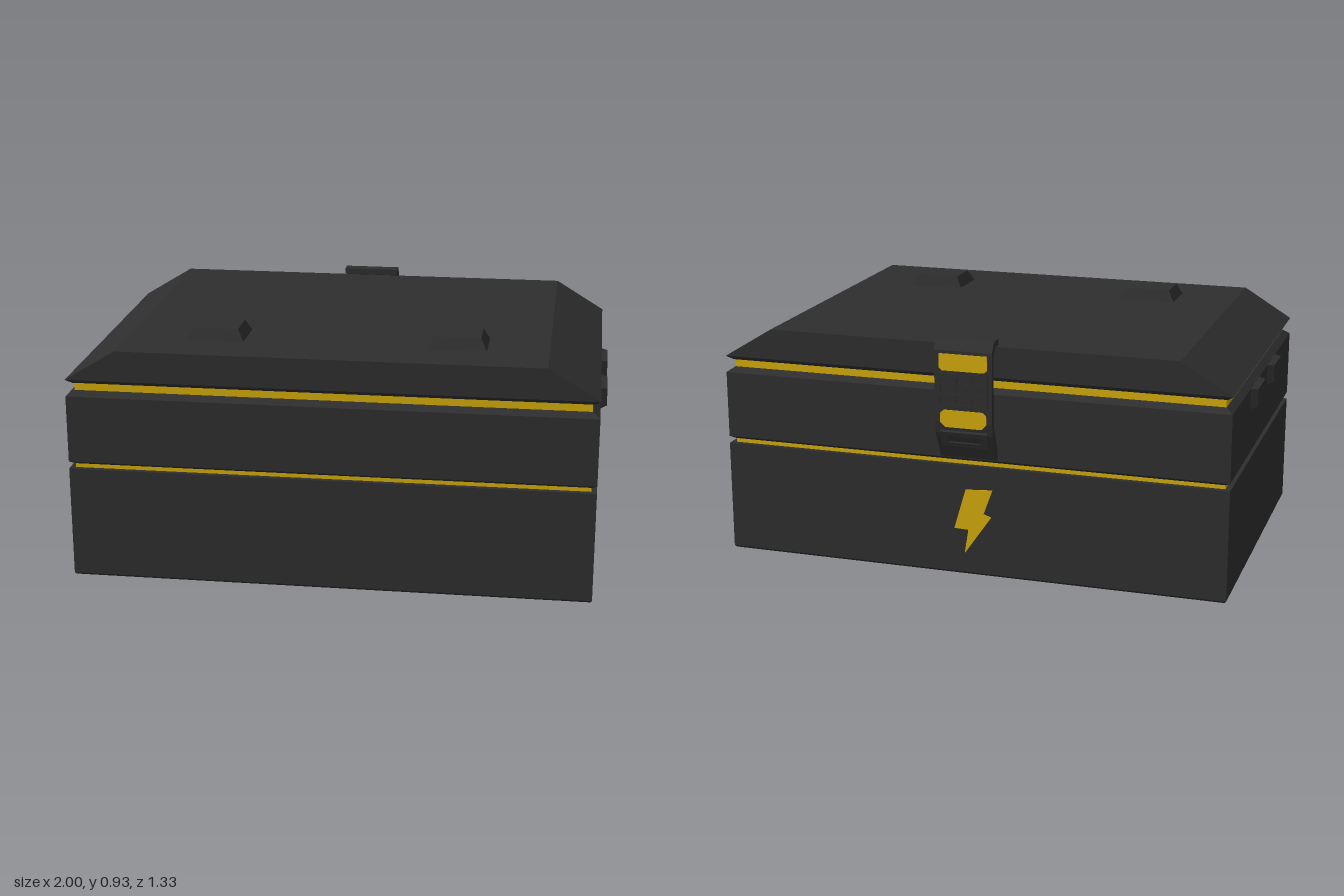
import * as THREE from 'three';

const dark = new THREE.MeshStandardMaterial({ color: 0x2e2e2e });
dark.name = 'charcoal';
const yellow = new THREE.MeshStandardMaterial({ color: 0xd0a80a });
yellow.name = 'safety yellow';

// Footprint of the case: half width, back and front
const W = 0.975, BACK = -0.6, FRONT = 0.663;

// Flat-faced solid through rectangular rings [y, x0, x1, z0, z1], lowest first
function loft(rings) {
  const corners = rings.map(([y, x0, x1, z0, z1]) =>
    [[x0, y, z1], [x1, y, z1], [x1, y, z0], [x0, y, z0]]);
  const pos = [];
  const quad = (a, b, c, d) => pos.push(...a, ...b, ...c, ...a, ...c, ...d);
  for (let i = 0; i < corners.length - 1; i++) {
    const lo = corners[i], hi = corners[i + 1];
    for (let k = 0; k < 4; k++) {
      const n = (k + 1) % 4;
      quad(lo[k], lo[n], hi[n], hi[k]);
    }
  }
  const [a, b, c, d] = corners[0];
  quad(d, c, b, a);
  quad(...corners[corners.length - 1]);
  const g = new THREE.BufferGeometry();
  g.setAttribute('position', new THREE.Float32BufferAttribute(pos, 3));
  g.computeVertexNormals();
  return g;
}

// Ring of the case footprint, pulled in by an inset (and more in x if given)
const ring = (y, inset, extraX = 0) =>
  [y, -W + inset + extraX, W - inset - extraX, BACK + inset, FRONT - inset];

// Extrude a (z, y) side profile across the width, centred on x = 0
function sideProfile(points, width) {
  const shape = new THREE.Shape(points.map(([z, y]) => new THREE.Vector2(-z, y)));
  const g = new THREE.ExtrudeGeometry(shape, { depth: width, bevelEnabled: false });
  return g.translate(0, 0, -width / 2).rotateY(Math.PI / 2);
}

// Extrude an (x, y) outline as a thin plate standing out behind z
function backPlate(points, z, thickness) {
  const shape = new THREE.Shape(points.map(p => new THREE.Vector2(...p)));
  const g = new THREE.ExtrudeGeometry(shape, { depth: thickness, bevelEnabled: false });
  return g.translate(0, 0, z - thickness);
}

export function createModel() {
  const model = new THREE.Group();
  model.name = 'storageCase';
  const add = (name, geometry, material = dark, parent = model) => {
    const mesh = new THREE.Mesh(geometry, material);
    mesh.name = name;
    parent.add(mesh);
    return mesh;
  };

  // Stacked case body with recessed bands between the sections
  add('lowerBody', loft([ring(0, 0.006), ring(0.008, 0), ring(0.428, 0)]));
  add('lowerBand', loft([ring(0.42, 0.02), ring(0.45, 0.02)]), yellow);
  add('middleBody', loft([ring(0.443, 0.02), ring(0.456, 0), ring(0.71, 0), ring(0.728, 0.025)]));
  add('upperBand', loft([ring(0.72, 0.028), ring(0.765, 0.028)]), yellow);
  add('lid', loft([ring(0.757, 0.022), ring(0.774, 0), ring(0.89, 0, 0.19)]));

  // Tapered pads near the front of the lid
  for (const s of [-1, 1]) {
    const x = s * 0.45;
    add('lidPad', loft([
      [0.885, x - 0.111, x + 0.111, 0.302, 0.482],
      [0.932, x - 0.085, x + 0.085, 0.322, 0.457],
    ]));
  }

  // Two tapered lugs on each side
  for (const s of [-1, 1]) {
    for (const z of [0.21, -0.15]) {
      const lug = add('sideLug', loft([
        [0, -0.04, 0.04, -0.09, 0.09],
        [0.027, -0.03, 0.036, -0.076, 0.076],
      ]));
      // Turn the lug so that it points outward
      lug.rotation.z = -s * Math.PI / 2;
      if (s > 0) lug.rotation.y = Math.PI;
      if (s > 0) lug.rotation.z = Math.PI / 2;
      lug.position.set(s * 0.973, 0.67, z);
    }
  }

  // Bent strap latch at the back
  const latch = new THREE.Group();
  latch.name = 'latch';
  model.add(latch);
  add('strap', sideProfile([
    [-0.585, 0.918], [-0.632, 0.918], [-0.663, 0.88], [-0.663, 0.61],
    [-0.655, 0.565], [-0.598, 0.455], [-0.598, 0.5], [-0.642, 0.6],
    [-0.642, 0.87], [-0.622, 0.895], [-0.585, 0.895],
  ], 0.22), dark, latch);

  // Raised frame on the slanted lower flap: two posts and two rails
  const flap = [[-0.645, 0.585], [-0.666, 0.573], [-0.644, 0.514], [-0.62, 0.52]];
  for (const s of [-1, 1]) {
    add('flapPost', sideProfile(flap, 0.03).translate(s * 0.075, 0, 0), dark, latch);
  }
  add('flapTopRail', sideProfile([[-0.645, 0.585], [-0.666, 0.573], [-0.66, 0.557], [-0.635, 0.557]], 0.16), dark, latch);
  add('flapBottomRail', sideProfile([[-0.63, 0.53], [-0.65, 0.53], [-0.644, 0.514], [-0.62, 0.52]], 0.16), dark, latch);

  // Yellow panels above and below the grip
  add('upperPanel', backPlate([
    [-0.092, 0.815], [-0.08, 0.805], [0.08, 0.805], [0.092, 0.815], [0.092, 0.868], [-0.092, 0.868],
  ], -0.662, 0.004), yellow, latch);
  add('lowerPanel', backPlate([
    [-0.088, 0.61], [-0.07, 0.592], [0.07, 0.592], [0.088, 0.61],
    [0.088, 0.645], [0.075, 0.657], [-0.075, 0.657], [-0.088, 0.645],
  ], -0.662, 0.004), yellow, latch);

  // Grid of grip ribs
  for (const y of [0.675, 0.715, 0.755, 0.79]) {
    add('gripRib', new THREE.BoxGeometry(0.19, 0.01, 0.006).translate(0, y, -0.664), dark, latch);
  }
  for (const x of [-0.09, -0.03, 0.03, 0.09]) {
    add('gripBar', new THREE.BoxGeometry(0.01, 0.115, 0.006).translate(x, 0.732, -0.664), dark, latch);
  }

  // Painted hazard bolt on the back
  add('hazardBolt', backPlate([
    [0.015, 0.335], [-0.09, 0.342], [-0.055, 0.245], [-0.085, 0.235],
    [0.02, 0.083], [0.005, 0.178], [0.06, 0.18],
  ], BACK + 0.001, 0.004), yellow);

  return model;
}
